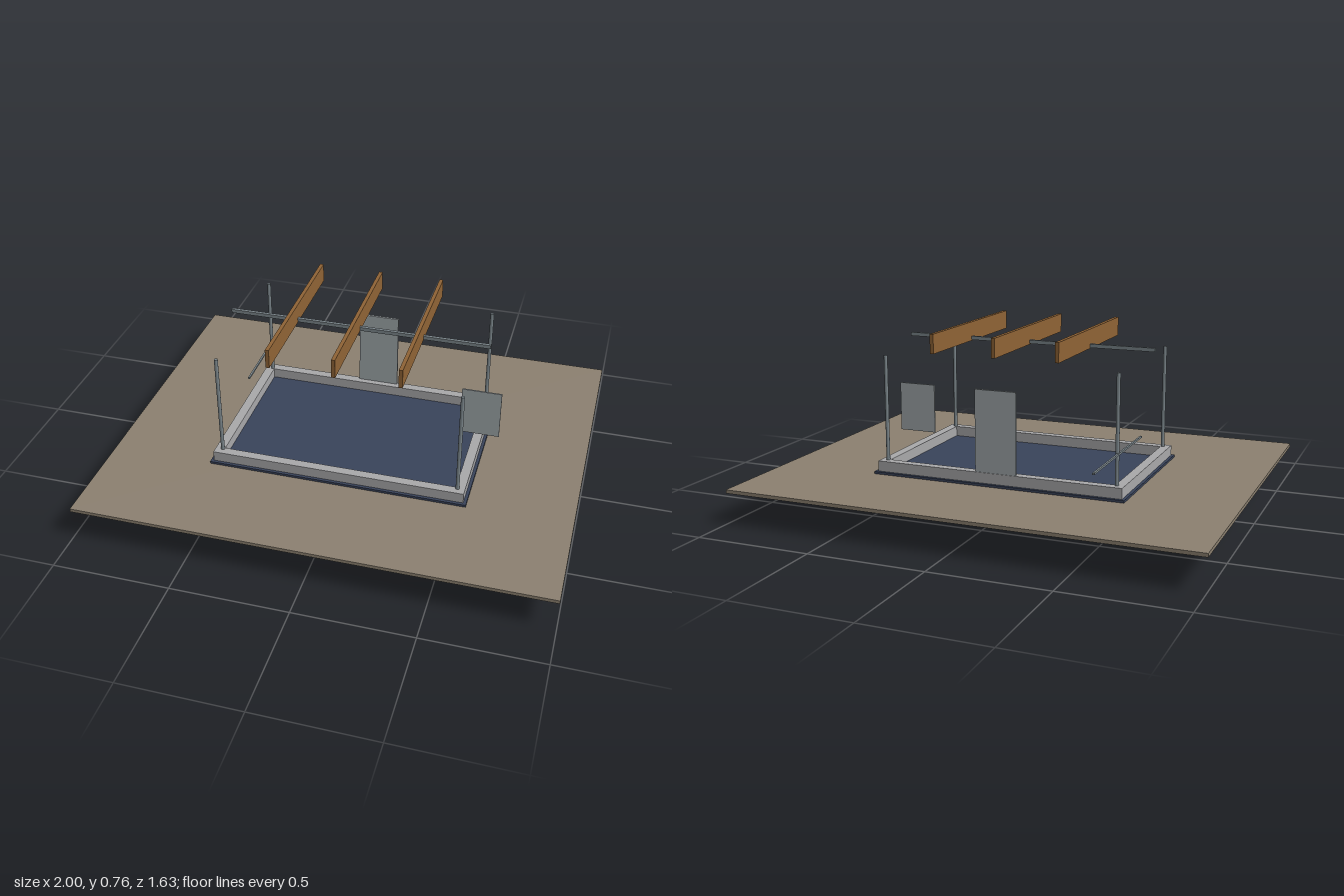
import * as THREE from 'three';

const mat = (color) => new THREE.MeshStandardMaterial({ color });
const EARTH = mat(0x8b8070), NAVY = mat(0x39435a), GOLD = mat(0x957a25), WOOD = mat(0x8f6335);
const STEEL = mat(0x7b868b), PANEL = mat(0x9fa7aa), CURB = mat(0xa8a8aa), SLAB = mat(0x96939d), STEM = mat(0x7d8088);

export function createModel() {
  const model = new THREE.Group();

  // Box given by its limits on each axis
  function box(name, material, [x0, x1], [y0, y1], [z0, z1], parent = model) {
    const mesh = new THREE.Mesh(new THREE.BoxGeometry(x1 - x0, y1 - y0, z1 - z0), material);
    mesh.position.set((x0 + x1) / 2, (y0 + y1) / 2, (z0 + z1) / 2);
    mesh.name = name;
    parent.add(mesh);
    return mesh;
  }

  // Flat rectangular ring between two half-sizes
  function ring(name, material, [ox, oz], [ix, iz], y0, y1) {
    const rect = (Type, x, z) => {
      const p = new Type();
      p.moveTo(-x, -z).lineTo(x, -z).lineTo(x, z).lineTo(-x, z).closePath();
      return p;
    };
    const shape = rect(THREE.Shape, ox, oz);
    shape.holes.push(rect(THREE.Path, ix, iz));
    const geo = new THREE.ExtrudeGeometry(shape, { depth: y1 - y0, bevelEnabled: false });
    geo.rotateX(-Math.PI / 2).translate(0, y0, 0);
    const mesh = new THREE.Mesh(geo, material);
    mesh.name = name;
    model.add(mesh);
  }

  // Foundation layers, from the footing up to the ground sheet
  box('footing', SLAB, [-0.585, 0.585], [0.001, 0.065], [-0.4, 0.4]);
  box('stemWall', STEM, [-0.57, 0.57], [0.065, 0.11], [-0.385, 0.385]);
  box('insulationLayer', GOLD, [-0.585, 0.585], [0.11, 0.13], [-0.4, 0.4]);
  ring('insulationUnderside', GOLD, [0.584, 0.399], [0.46, 0.28], 0, 0.003);
  box('ground', EARTH, [-1, 1], [0.13, 0.145], [-0.815, 0.815]);

  // Insulation panels, a pair wrapping each corner
  const corners = [[-1, -1], [-1, 1], [1, -1], [1, 1]];
  const span = (s, a, b) => (s > 0 ? [a, b] : [-b, -a]);
  for (const [sx, sz] of corners) {
    const group = new THREE.Group();
    group.name = 'cornerInsulation';
    model.add(group);
    box('endPanel', GOLD, span(sx, 0.565, 0.6), [0, 0.13], span(sz, 0.28, 0.385), group);
    box('longPanel', GOLD, span(sx, 0.46, 0.56), [0, 0.13], span(sz, 0.385, 0.415), group);
  }

  // Floor membrane and the curb standing on it
  box('floorMembrane', NAVY, [-0.558, 0.558], [0.145, 0.155], [-0.377, 0.377]);
  ring('curb', CURB, [0.545, 0.364], [0.505, 0.325], 0.155, 0.2);

  // Corner posts
  for (const [sx, sz] of corners) {
    const post = new THREE.Mesh(new THREE.CylinderGeometry(0.008, 0.008, 0.455, 12), STEEL);
    post.position.set(sx * 0.513, 0.4275, sz * 0.332);
    post.name = 'cornerPost';
    model.add(post);
  }

  // Roof members
  box('ridgeBeam', STEEL, [-0.563, 0.563], [0.686, 0.702], [-0.007, 0.007]);
  for (const x of [-0.273, 0, 0.273]) {
    box('rafter', WOOD, [x - 0.008, x + 0.008], [0.683, 0.765], [-0.377, 0.377]);
  }

  // Door at the back, window at the left end, rail at the right end
  box('door', PANEL, [-0.09, 0.09], [0.2, 0.548], [-0.361, -0.351]);
  box('window', PANEL, [0.455, 0.625], [0.25, 0.468], [-0.003, 0.003]);
  box('rail', STEEL, [-0.523, -0.515], [0.326, 0.334], [-0.64, -0.033]);

  return model;
}
